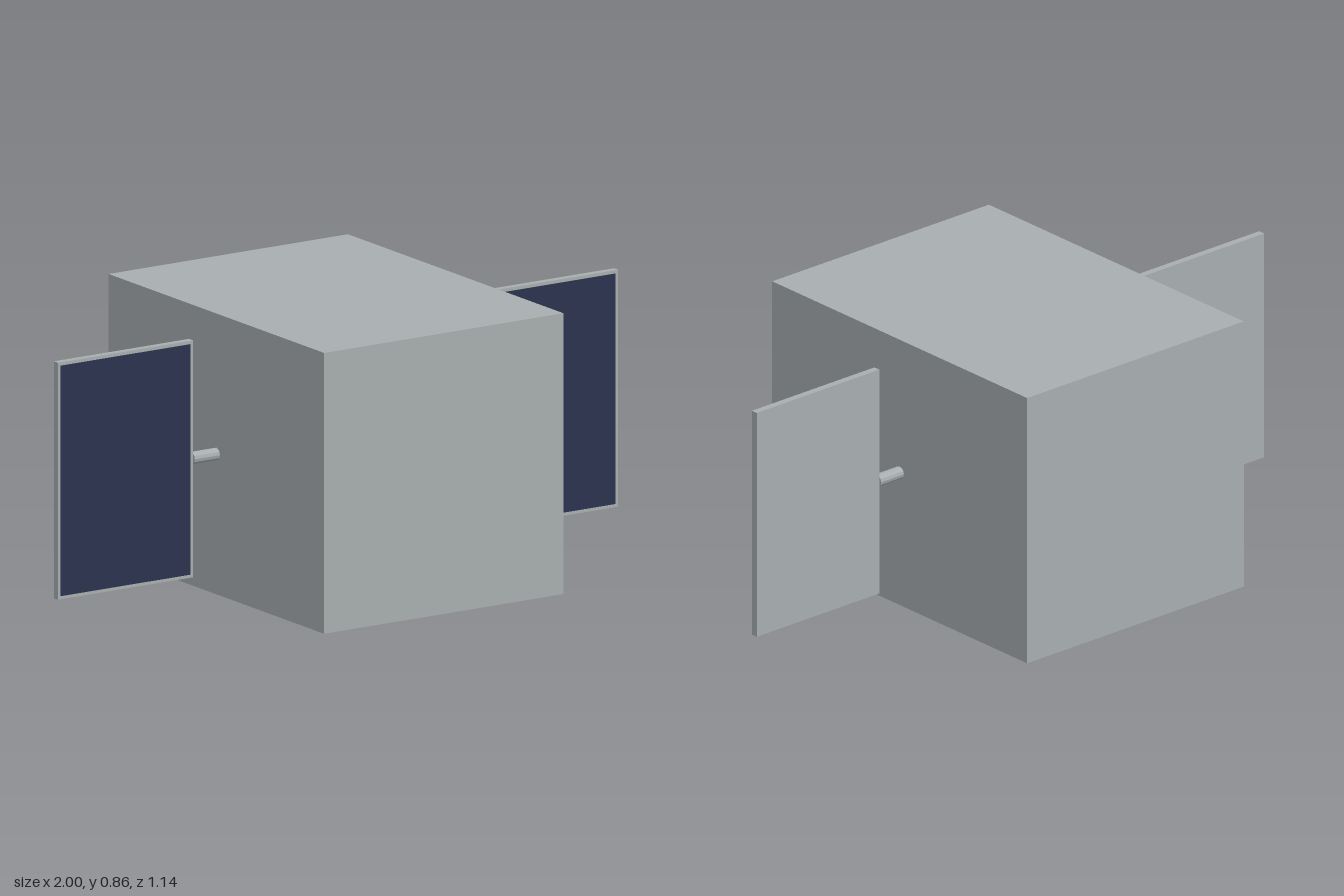
import * as THREE from 'three';

export function createModel() {
  const group = new THREE.Group();
  const grey = new THREE.MeshStandardMaterial({ color: 0xa8aeb0 });
  grey.name = 'hull grey';
  grey.flatShading = true;
  const blue = new THREE.MeshStandardMaterial({ color: 0x2c334f });
  blue.name = 'solar cell blue';

  const H = 0.858, mid = H / 2;           // hull height and axis height
  const hullHalf = 0.427, panelIn = 0.517; // x where hull ends and panel starts
  const panelW = 1 - panelIn, panelH = 0.724, panelT = 0.022, rim = 0.01;

  const add = (parent, name, geometry, material, x, y, z) => {
    const mesh = new THREE.Mesh(geometry, material);
    mesh.name = name;
    mesh.position.set(x, y, z);
    parent.add(mesh);
    return mesh;
  };

  // Main box
  add(group, 'hull', new THREE.BoxGeometry(hullHalf * 2, H, 1.143), grey, 0, mid, 0);

  // One wing per side: rod, panel and the cells on its front face
  for (const [side, s] of [['left', 1], ['right', -1]]) {
    const wing = new THREE.Group();
    wing.name = side + 'Wing';
    group.add(wing);

    const rodLength = panelIn - hullHalf;
    const rod = add(wing, side + 'Rod',
      new THREE.CylinderGeometry(0.019, 0.019, rodLength, 12), grey,
      s * (hullHalf + rodLength / 2), mid, 0);
    rod.rotation.z = Math.PI / 2;

    const px = s * (panelIn + panelW / 2);
    add(wing, side + 'Panel', new THREE.BoxGeometry(panelW, panelH, panelT), grey, px, mid, 0);
    add(wing, side + 'SolarCells',
      new THREE.BoxGeometry(panelW - rim * 2, panelH - rim * 2, 0.002), blue,
      px, mid, panelT / 2 + 0.0005);
  }
  return group;
}
